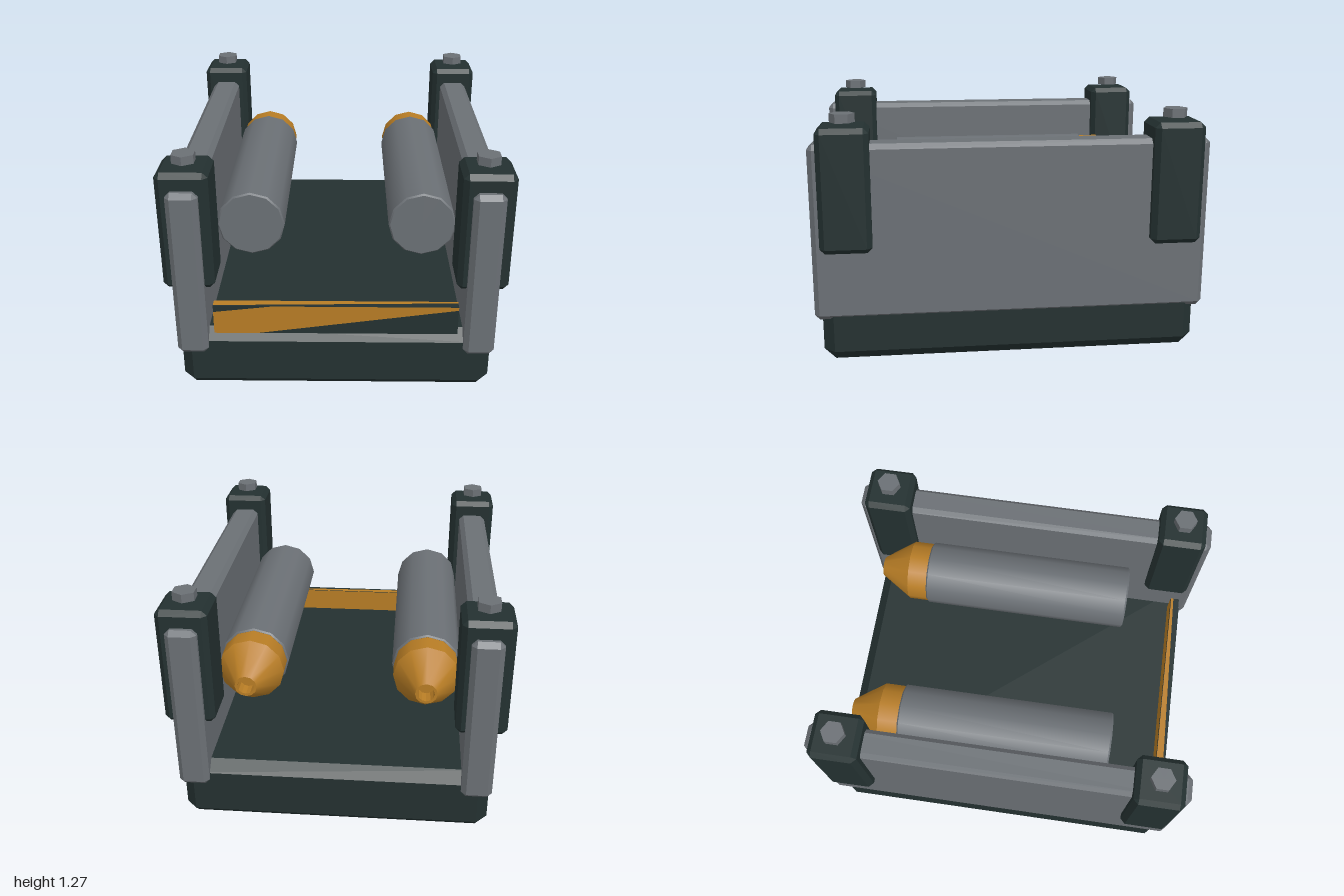
import * as THREE from 'three';
import { ConvexGeometry } from 'three/addons/geometries/ConvexGeometry.js';

const mat = (name, color) => Object.assign(new THREE.MeshStandardMaterial({ color }), { name });

// Box with every edge cut by a single flat chamfer
function chamferBox(w, h, d, b) {
  const x = w / 2, y = h / 2, z = d / 2, pts = [];
  for (const sx of [-1, 1]) for (const sy of [-1, 1]) for (const sz of [-1, 1]) {
    pts.push(
      new THREE.Vector3(sx * x, sy * (y - b), sz * (z - b)),
      new THREE.Vector3(sx * (x - b), sy * y, sz * (z - b)),
      new THREE.Vector3(sx * (x - b), sy * (y - b), sz * z));
  }
  return new ConvexGeometry(pts);
}

export function createModel() {
  const model = new THREE.Group();
  const dark = mat('dark green steel', 0x243131);
  const gray = mat('gray metal', 0x6b7075);
  const orange = mat('orange paint', 0xb87d25);

  function add(parent, name, geometry, material, x = 0, y = 0, z = 0) {
    const mesh = new THREE.Mesh(geometry, material);
    mesh.name = name;
    mesh.position.set(x, y, z);
    parent.add(mesh);
    return mesh;
  }

  // Base slab
  add(model, 'base', chamferBox(1.585, 0.345, 1.93, 0.057), dark, 0, 0.1725, 0);

  // Front sill with painted wedge stripes
  const sill = new THREE.Group();
  sill.name = 'frontSill';
  model.add(sill);
  add(sill, 'sillBar', new THREE.BoxGeometry(1.236, 0.16, 0.05), dark, 0, 0.4, 0.91);
  const plate = (pts) => new THREE.ShapeGeometry(new THREE.Shape(pts.map((p) => new THREE.Vector2(...p))));
  add(sill, 'frontStripe', plate([[-0.618, 0.32], [-0.4, 0.32], [0.618, 0.462], [0.618, 0.48],
    [-0.32, 0.48], [-0.618, 0.445]]), orange, 0, 0, 0.937);
  add(sill, 'topStripe', plate([[-0.618, -0.93], [0.618, -0.9], [0.618, -0.886], [-0.618, -0.886]])
    .rotateX(-Math.PI / 2), orange, 0, 0.482, 0);
  add(sill, 'backStripe', new THREE.PlaneGeometry(1.236, 0.16).rotateY(Math.PI), orange, 0, 0.4, 0.883);

  for (const side of [-1, 1]) {
    const label = side > 0 ? 'left' : 'right';

    // Side wall
    add(model, label + 'Wall', chamferBox(0.156, 0.892, 2, 0.025), gray, side * 0.723, 0.677, 0);

    // Corner posts with hex bolts on top
    for (const end of [-1, 1]) {
      const corner = label + (end > 0 ? 'Front' : 'Back');
      add(model, corner + 'Post', chamferBox(0.255, 0.62, 0.257, 0.026), dark,
        side * 0.725, 0.898, end * 0.828);
      add(model, corner + 'Bolt', new THREE.CylinderGeometry(0.062, 0.062, 0.044, 6).toNonIndexed(), gray,
        side * 0.725, 1.245, end * 0.828).geometry.computeVertexNormals();
    }

    // Cylinder lying along z, its nozzle pointing backward
    const tank = new THREE.Group();
    tank.name = label + 'Tank';
    tank.position.set(side * 0.45, 0.76, 0);
    tank.rotation.x = -Math.PI / 2; // local +y points to -z
    model.add(tank);
    const ring = (name, rTop, rBottom, y0, y1, material, open = true) => add(tank, name,
      new THREE.CylinderGeometry(rTop, rBottom, y1 - y0, 12, 1, open), material, 0, (y0 + y1) / 2, 0);
    ring('tankBody', 0.178, 0.178, -0.572, 0.578, gray, false);
    ring('tankFrontRim', 0.178, 0.17, -0.581, -0.572, gray, false);
    ring('tankBackRim', 0.17, 0.178, 0.578, 0.586, gray, false);
    ring('nozzleCollar', 0.169, 0.169, 0.586, 0.695, orange);
    ring('nozzleCone', 0.056, 0.169, 0.695, 0.865, orange);
    // Recessed nozzle mouth: lip, inner wall and floor
    const mouth = [[0.001, 0.79], [0.042, 0.79], [0.042, 0.79], [0.042, 0.865], [0.042, 0.865], [0.056, 0.865]]
      .map((p) => new THREE.Vector2(...p));
    const mouthMesh = add(tank, 'nozzleMouth', new THREE.LatheGeometry(mouth, 12), orange);
    // Lathe faces wind outward for rising profiles, so flip them to face the opening
    const index = mouthMesh.geometry.index;
    for (let i = 0; i < index.count; i += 3) {
      const a = index.getX(i);
      index.setX(i, index.getX(i + 1));
      index.setX(i + 1, a);
    }
    mouthMesh.geometry = mouthMesh.geometry.toNonIndexed();
    mouthMesh.geometry.computeVertexNormals();
  }
  return model;
}
